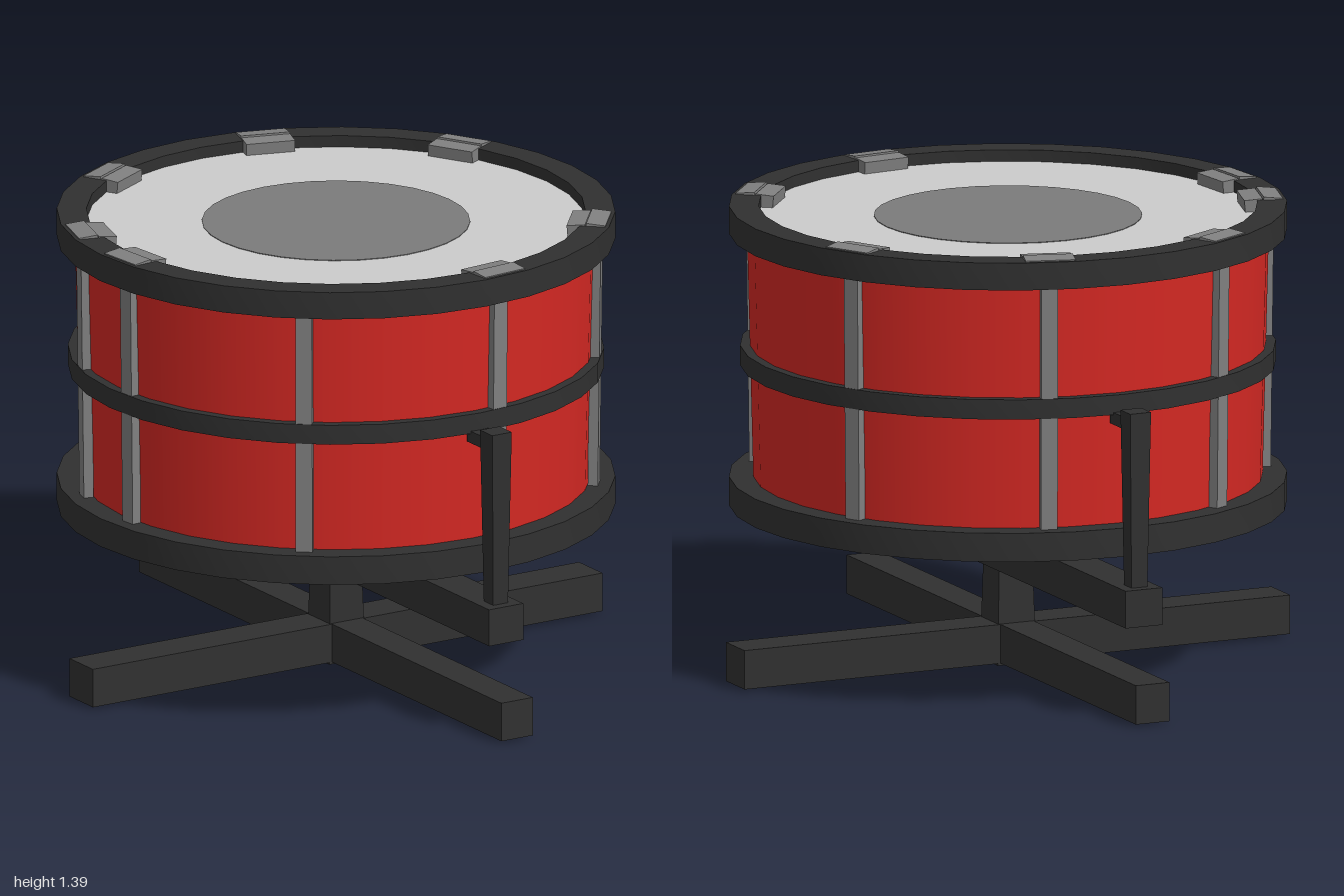
import * as THREE from 'three';
import { toCreasedNormals } from 'three/addons/utils/BufferGeometryUtils.js';

const SIDES = 32;
const mat = (color) => new THREE.MeshStandardMaterial({ color });

export function createModel() {
  const model = new THREE.Group();
  const dark = mat(0x303030), red = mat(0xd42823), steel = mat(0x808080);
  const skin = mat(0xcccccc), patch = mat(0x7b7b7b);

  const add = (name, geometry, material, x = 0, y = 0, z = 0, parent = model) => {
    const mesh = new THREE.Mesh(geometry, material);
    mesh.name = name;
    mesh.position.set(x, y, z);
    parent.add(mesh);
    return mesh;
  };
  const box = (name, w, h, d, material, x, y, z, parent) =>
    add(name, new THREE.BoxGeometry(w, h, d), material, x, y, z, parent);

  // Square bar whose half width changes from bottom to top
  const taperedBar = (name, bottom, top, y0, y1, z) => {
    const g = new THREE.CylinderGeometry(top * Math.SQRT2, bottom * Math.SQRT2, y1 - y0, 4);
    g.rotateY(Math.PI / 4);
    return add(name, toCreasedNormals(g, 0.5), dark, 0, (y0 + y1) / 2, z);
  };

  // Ring with a rectangular section
  const hoop = (name, inner, outer, y0, y1) => {
    const profile = [[inner, y0], [outer, y0], [outer, y1], [inner, y1], [inner, y0]]
      .map(([r, y]) => new THREE.Vector2(r, y));
    add(name, toCreasedNormals(new THREE.LatheGeometry(profile, SIDES), 0.6), dark);
  };

  // Drum shell, slightly narrower at the bottom
  add('shell', new THREE.CylinderGeometry(0.775, 0.755, 0.8, SIDES, 1, true), red, 0, 0.93, 0);

  // Hoops
  hoop('bottomHoop', 0.74, 0.828, 0.478, 0.565);
  hoop('middleHoop', 0.75, 0.795, 0.903, 0.963);
  hoop('topHoop', 0.74, 0.828, 1.302, 1.385);

  // Drum heads and the centre patch
  add('topHead', new THREE.CylinderGeometry(0.75, 0.75, 0.02, SIDES), skin, 0, 1.34, 0);
  add('bottomHead', new THREE.CylinderGeometry(0.75, 0.75, 0.02, SIDES), skin, 0, 0.525, 0);
  add('centrePatch', new THREE.CylinderGeometry(0.398, 0.398, 0.002, SIDES), patch, 0, 1.351, 0);

  // Tension rods around the shell, with two-part clips over the top hoop
  [5.6, 50.6, 118.6, 163.6, 208.6, 253.6, 275.6, 320.6].forEach((degrees, i) => {
    const lug = new THREE.Group();
    lug.name = 'tensionLug';
    lug.rotation.y = THREE.MathUtils.degToRad(degrees);
    model.add(lug);
    const rod = box('tensionRod', 0.05, 0.76, 0.03, steel, 0, 0.935, 0.774, lug);
    rod.rotation.x = 0.012;
    if (i === 7) return;
    const inner = box('clipInner', 0.15, 0.055, 0.055, steel, 0, 1.36, 0.727, lug);
    inner.rotation.x = -0.08;
    const outer = box('clipOuter', 0.15, 0.055, 0.058, steel, 0, 1.364, 0.782, lug);
    outer.rotation.x = 0.1;
  });

  // Stand: crossed feet, column and cradle beam
  box('footSideways', 1.79, 0.118, 0.13, dark, 0, 0.066, 0);
  box('footLengthways', 0.11, 0.118, 2, dark, 0, 0.066, 0);
  taperedBar('column', 0.063, 0.055, 0, 0.3, 0);
  box('cradleBeam', 0.12, 0.113, 1.88, dark, 0, 0.3435, 0);

  // Upright arms holding the middle hoop
  for (const side of [1, -1]) {
    taperedBar('cradleArm', 0.026, 0.034, 0.4, 0.93, side * 0.883);
    box('cradleGrip', 0.06, 0.037, 0.11, dark, 0, 0.892, side * 0.825);
  }

  return model;
}
